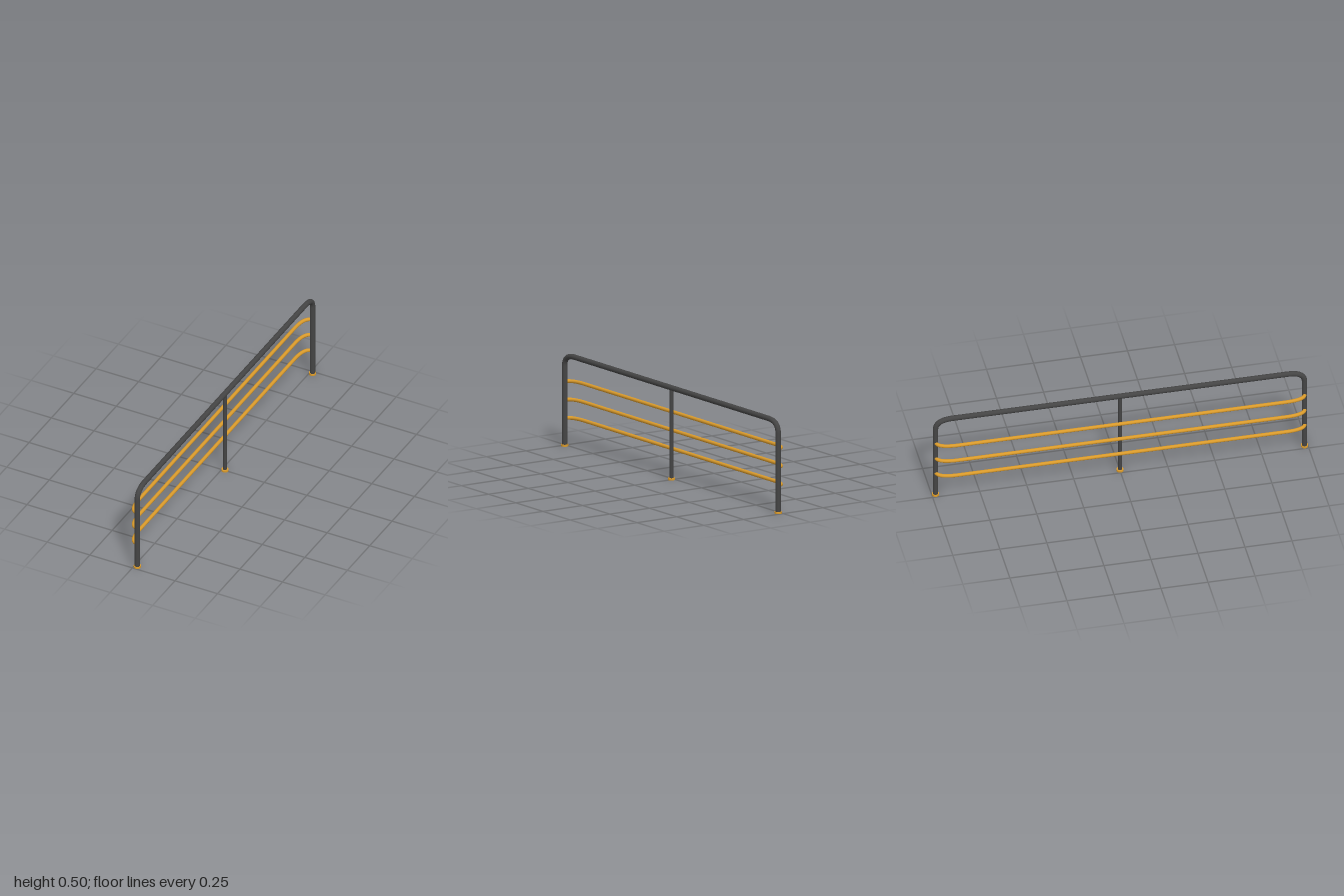
import * as THREE from 'three';

const POST_X = 0.019, POST_Z = 0.981, RAIL_X = -0.029, TOP_Y = 0.49;

const V = (x, y, z) => new THREE.Vector3(x, y, z);

// straight run, rounded corner, long run, rounded corner, straight run
function bentPath(start, bendIn, corner, bendOut) {
  const flip = (p) => V(p.x, p.y, -p.z);
  const path = new THREE.CurvePath();
  if (start) path.add(new THREE.LineCurve3(start, bendIn));
  path.add(new THREE.QuadraticBezierCurve3(bendIn, corner, bendOut));
  path.add(new THREE.LineCurve3(bendOut, flip(bendOut)));
  path.add(new THREE.QuadraticBezierCurve3(flip(bendOut), flip(corner), flip(bendIn)));
  if (start) path.add(new THREE.LineCurve3(flip(bendIn), flip(start)));
  return path;
}

export function createModel() {
  const group = new THREE.Group();
  const darkMetal = new THREE.MeshStandardMaterial({ color: 0x444444 });
  const brass = new THREE.MeshStandardMaterial({ color: 0xd99a2b });

  const add = (name, geometry, material, x = 0, y = 0, z = 0) => {
    const mesh = new THREE.Mesh(geometry, material);
    mesh.name = name;
    mesh.position.set(x, y, z);
    group.add(mesh);
    return mesh;
  };

  // Outer frame: two end posts and handrail bent from one tube
  const framePath = bentPath(
    V(POST_X, 0.005, POST_Z), V(POST_X, 0.43, POST_Z),
    V(POST_X, TOP_Y, POST_Z), V(POST_X, TOP_Y, 0.89));
  add('handrailFrame', new THREE.TubeGeometry(framePath, 300, 0.0142, 20), darkMetal);

  // Thinner middle post
  add('middlePost', new THREE.CylinderGeometry(0.01, 0.01, TOP_Y, 20), darkMetal, POST_X, TOP_Y / 2, 0);

  // Base flanges under each post
  for (const z of [-POST_Z, 0, POST_Z]) {
    add('baseFlange', new THREE.CylinderGeometry(0.019, 0.019, 0.01, 24), brass, POST_X, 0.005, z);
  }

  // Three side rails, curving into the end posts
  const railPath = bentPath(
    null, V(POST_X, 0, POST_Z),
    V(RAIL_X, 0, POST_Z), V(RAIL_X, 0, 0.87));
  const railGeometry = new THREE.TubeGeometry(railPath, 240, 0.0097, 16);
  [0.149, 0.247, 0.345].forEach((y) => add('sideRail', railGeometry, brass, 0, y, 0));

  return group;
}
